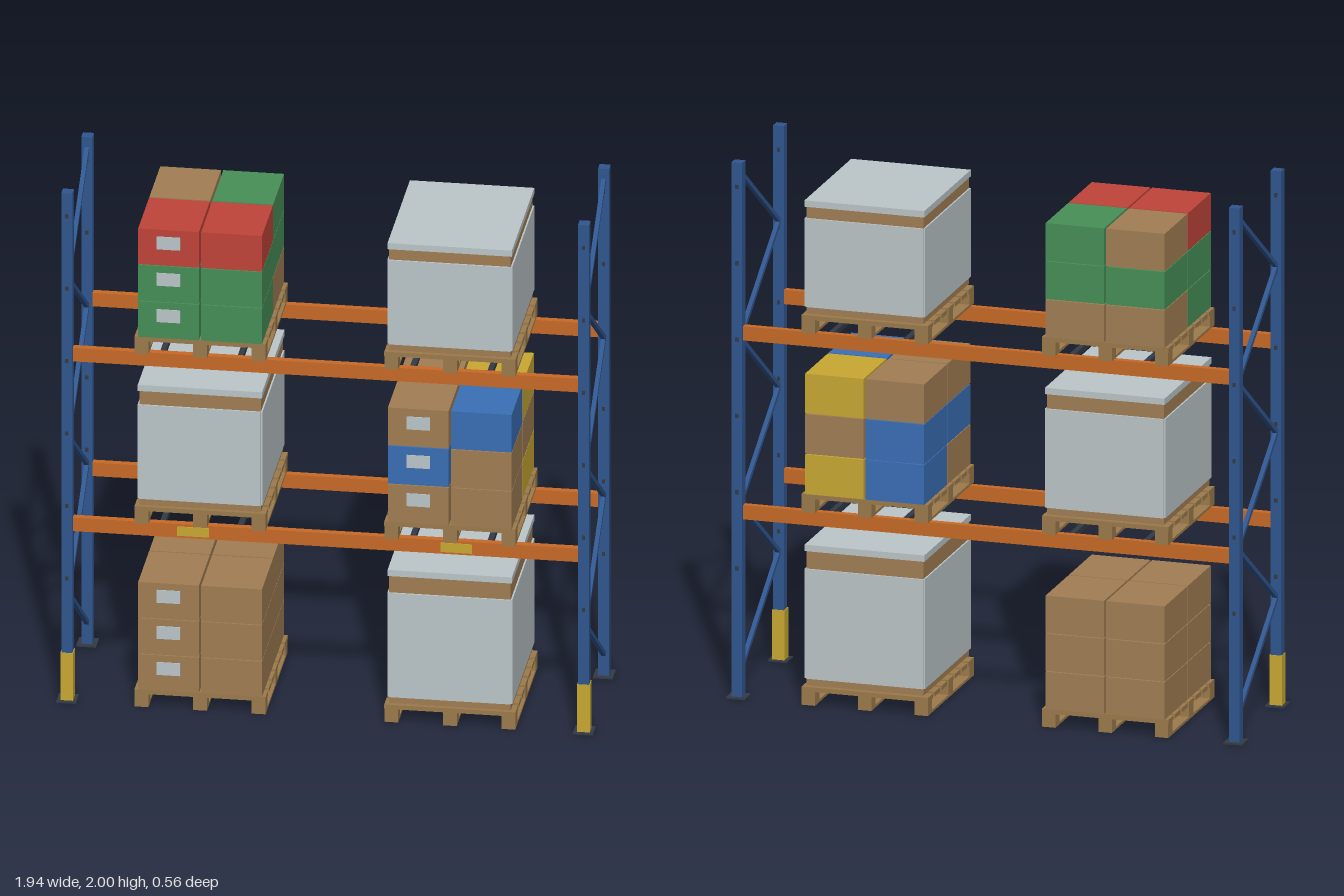
import * as THREE from 'three';

const mat = (name, color) => {
  const m = new THREE.MeshStandardMaterial({ color });
  m.name = name;
  return m;
};

const M = {
  post: mat('upright blue', 0x30568f),
  beam: mat('beam orange', 0xc96a27),
  yellow: mat('safety yellow', 0xc9a932),
  carton: mat('cardboard', 0xa27e54),
  wood: mat('pallet wood', 0x9d7b4c),
  wrap: mat('pale wrap', 0xbcc6c9),
  red: mat('carton red', 0xc04439),
  green: mat('carton green', 0x479057),
  blue: mat('carton blue', 0x3a6fb6),
  dark: mat('dark steel', 0x343a44),
};

// Axis-aligned box centred at (x, z) and spanning y0..y1
function box(parent, name, material, w, d, x, y0, y1, z) {
  const mesh = new THREE.Mesh(new THREE.BoxGeometry(w, y1 - y0, d), material);
  mesh.position.set(x, (y0 + y1) / 2, z);
  mesh.name = name;
  parent.add(mesh);
  return mesh;
}

function group(parent, name, x = 0, y = 0) {
  const g = new THREE.Group();
  g.name = name;
  g.position.set(x, y, 0);
  parent.add(g);
  return g;
}

const PALLET_H = 0.068;

function addPallet(parent) {
  const p = group(parent, 'pallet');
  for (const x of [-0.212, 0, 0.212]) {
    box(p, 'bottomBoard', M.wood, 0.05, 0.54, x, 0, 0.01, 0);
    for (const z of [-0.245, 0, 0.245]) box(p, 'block', M.wood, 0.05, 0.05, x, 0.01, 0.053, z);
  }
  // deck boards run across the width with narrow gaps
  const n = 7;
  for (let i = 0; i < n; i++) {
    box(p, 'deckBoard', M.wood, 0.475, 0.062, 0, 0.051, PALLET_H, -0.239 + (i * 0.478) / (n - 1));
  }
}

// Layers listed bottom to top; each is [front -x, front +x, back -x, back +x]
function addCartons(parent, h, layers) {
  const s = group(parent, 'cartonStack', 0, PALLET_H);
  layers.forEach((layer, k) => {
    layer.forEach((colour, i) => {
      const x = i % 2 ? 0.114 : -0.114;
      const z = i < 2 ? 0.137 : -0.137;
      box(s, 'carton', M[colour], 0.22, 0.268, x, k * h, (k + 1) * h - 0.003, z);
    });
    const c = (k + 0.5) * h + 0.017;
    box(s, 'cartonLabel', M.wrap, 0.085, 0.004, -0.114, c - 0.025, c + 0.025, 0.272);
  });
}

// Wrapped load: cardboard core, pale film around it and a lid
function addWrapped(parent, h) {
  const s = group(parent, 'wrappedLoad', 0, PALLET_H);
  const y0 = 0.032, y1 = y0 + h * 0.77;
  box(s, 'core', M.carton, 0.44, 0.536, 0, 0.006, h - 0.02, 0);
  box(s, 'wrapFrontBack', M.wrap, 0.44, 0.55, 0, y0, y1, 0);
  box(s, 'wrapSides', M.wrap, 0.452, 0.538, 0, y0, y1, 0);
  box(s, 'lid', M.wrap, 0.45, 0.548, 0, h - 0.024, h, 0);
}

function addUpright(parent, x, z) {
  const u = group(parent, 'upright');
  box(u, 'post', M.post, 0.04, 0.04, x, 0.006, 2, z);
  box(u, 'footPlate', M.dark, 0.072, 0.072, x, 0, 0.006, z);
  for (let k = 1; k <= 6; k++) {
    const y = 0.2 + 0.285 * k;
    box(u, 'slot', M.dark, 0.012, 0.0415, x, y - 0.008, y + 0.008, z);
  }
  if (z > 0) box(u, 'postGuard', M.yellow, 0.046, 0.046, x, 0.006, 0.192, z);
}

// Zigzag bracing between the front and back posts
function addBracing(parent, x) {
  const b = group(parent, 'bracing');
  const ys = [0.09, 0.41, 0.715, 1.025, 1.335, 1.645, 1.955];
  for (let i = 0; i < ys.length - 1; i++) {
    const za = i % 2 ? 0.228 : -0.228;
    const dy = ys[i + 1] - ys[i], dz = -2 * za;
    const brace = new THREE.Mesh(new THREE.BoxGeometry(0.016, 0.016, Math.hypot(dy, dz)), M.post);
    brace.position.set(x, (ys[i] + ys[i + 1]) / 2, 0);
    brace.rotation.x = -Math.atan2(dy, dz);
    brace.name = 'brace';
    b.add(brace);
  }
}

export function createModel() {
  const rack = new THREE.Group();
  rack.name = 'palletRack';

  for (const x of [-0.935, 0.935]) {
    for (const z of [-0.245, 0.245]) addUpright(rack, x, z);
    addBracing(rack, x);
  }

  // Beams and the support bars beneath each pallet
  const LEVELS = [0, 0.72, 1.388];
  for (const y of LEVELS.slice(1)) {
    for (const z of [-0.24, 0.24]) box(rack, 'beam', M.beam, 1.83, 0.026, 0, y - 0.053, y, z);
    for (const side of [-1, 1]) {
      for (const dx of [-0.14, 0.14]) {
        box(rack, 'supportBar', M.dark, 0.02, 0.46, side * 0.452 + dx, y - 0.02, y - 0.001, 0);
      }
    }
  }
  for (const x of [-0.48, 0.473]) box(rack, 'beamLabel', M.yellow, 0.115, 0.004, x, 0.675, 0.711, 0.254);

  // Pallets with their loads
  const bay = (side, level) => {
    const g = group(rack, 'palletLoad', side * 0.452, LEVELS[level]);
    addPallet(g);
    return g;
  };
  const plain = ['carton', 'carton', 'carton', 'carton'];
  addCartons(bay(-1, 0), 0.142, [plain, plain, plain]);
  addWrapped(bay(1, 0), 0.532);
  addWrapped(bay(-1, 1), 0.48);
  addCartons(bay(1, 1), 0.151, [
    ['carton', 'carton', 'blue', 'yellow'],
    ['blue', 'carton', 'blue', 'carton'],
    ['carton', 'blue', 'carton', 'yellow'],
  ]);
  addCartons(bay(-1, 2), 0.143, [
    ['green', 'green', 'carton', 'carton'],
    ['green', 'green', 'green', 'green'],
    ['red', 'red', 'carton', 'green'],
  ]);
  addWrapped(bay(1, 2), 0.43);

  return rack;
}
